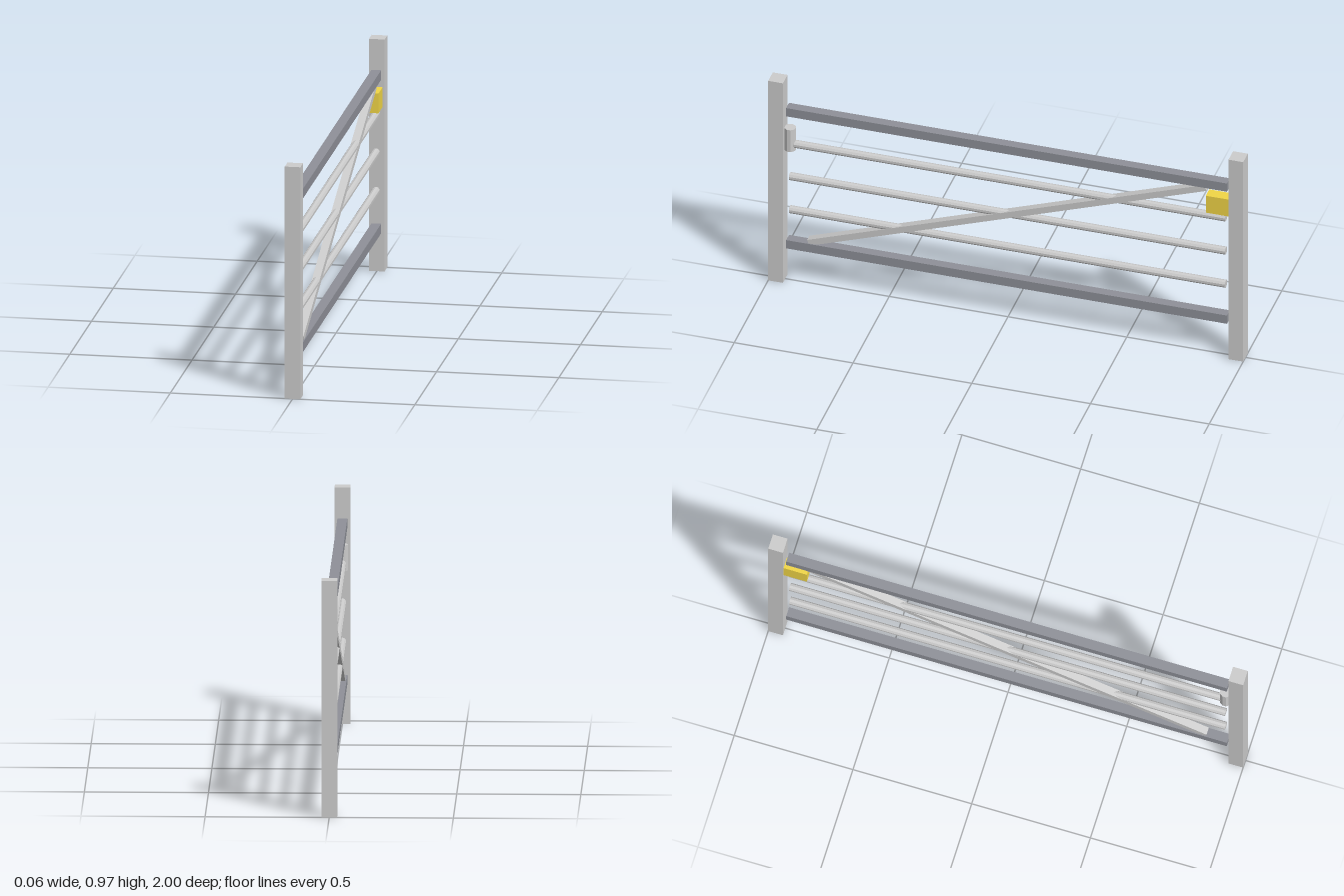
import * as THREE from 'three';

export function createModel() {
  const gate = new THREE.Group();
  gate.name = 'fieldGate';

  const steel = new THREE.MeshStandardMaterial({ color: 0xcccccc, flatShading: true });
  const darkSteel = new THREE.MeshStandardMaterial({ color: 0x8e9098, flatShading: true });
  const yellow = new THREE.MeshStandardMaterial({ color: 0xf0d546, flatShading: true });

  function add(name, geometry, material, y, z) {
    const mesh = new THREE.Mesh(geometry, material);
    mesh.name = name;
    mesh.position.set(0, y, z);
    gate.add(mesh);
    return mesh;
  }

  // Square posts at both ends
  const post = new THREE.BoxGeometry(0.064, 0.97, 0.062);
  add('hingePost', post, steel, 0.485, 0.969);
  add('latchPost', post, steel, 0.485, -0.969);

  // Dark box-section rails at top and bottom
  const rail = new THREE.BoxGeometry(0.04, 0.04, 1.856);
  add('topRail', rail, darkSteel, 0.824, 0);
  add('bottomRail', rail, darkSteel, 0.182, 0);

  // Round bars between the rails
  const bar = new THREE.CylinderGeometry(0.0165, 0.0165, 1.836, 10).rotateX(Math.PI / 2);
  [0.342, 0.503, 0.664].forEach((y, i) => add('bar' + (i + 1), bar, steel, y, 0));

  // Diagonal brace, low at the hinge end and high at the latch end
  const brace = add('diagonalBrace', new THREE.BoxGeometry(0.032, 0.028, 1.776), steel, 0.503, 0);
  brace.rotation.x = Math.atan2(0.6, 1.68);

  // Hinge barrel against the hinge post
  add('hinge', new THREE.CylinderGeometry(0.024, 0.024, 0.106, 10), steel, 0.688, 0.917);

  // Latch box against the latch post
  add('latch', new THREE.BoxGeometry(0.048, 0.082, 0.098), yellow, 0.729, -0.889);

  return gate;
}
